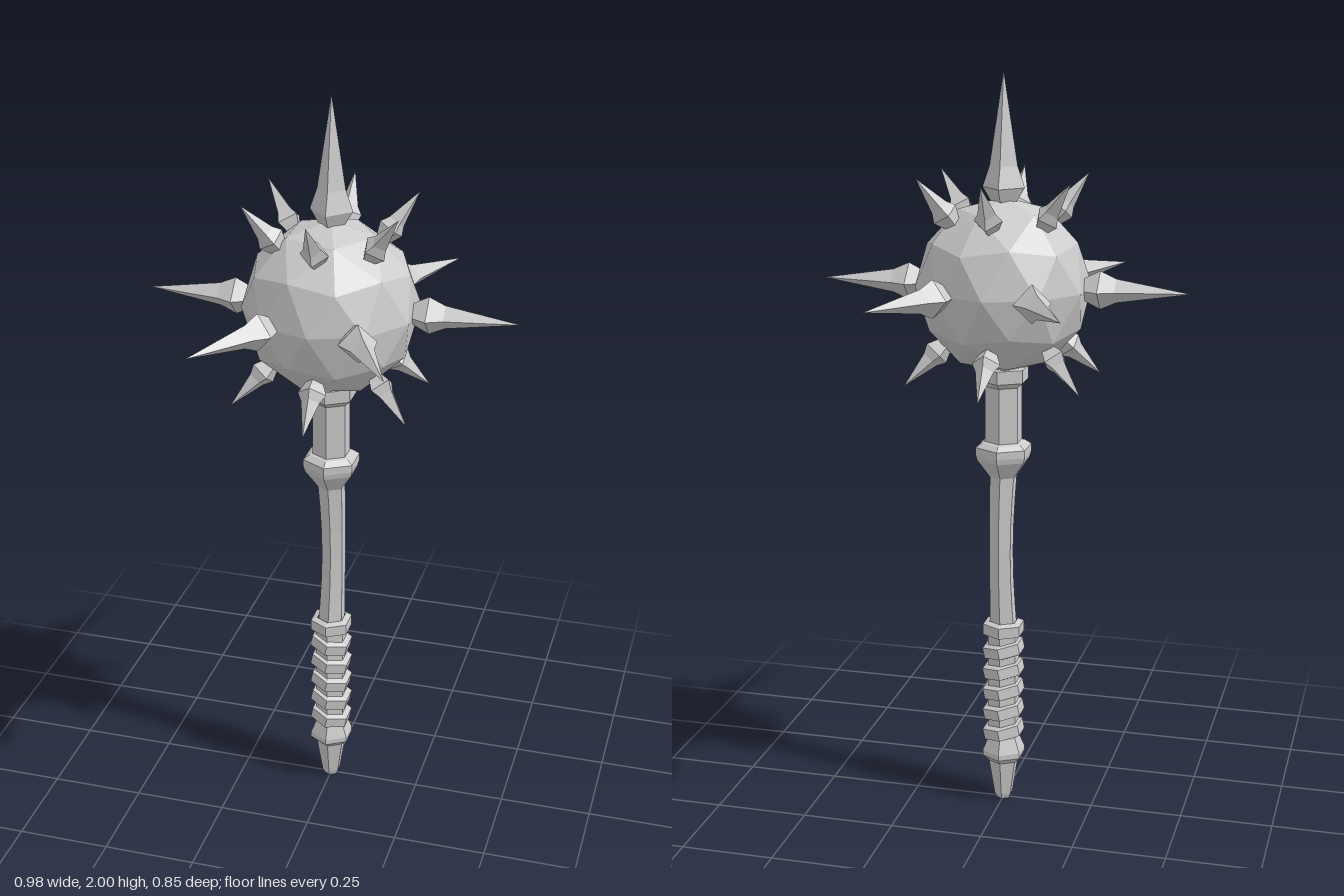
import * as THREE from 'three';

const material = new THREE.MeshStandardMaterial({ color: 0xcccccc, flatShading: true });
const BALL_Y = 1.45;
const BALL_R = 0.23;

// Turned part with a few flat sides; profile is a list of [radius, height]
function turned(name, profile, sides) {
  const points = profile.map(([r, y]) => new THREE.Vector2(r, y));
  const mesh = new THREE.Mesh(new THREE.LatheGeometry(points, sides), material);
  mesh.name = name;
  return mesh;
}

// Four-sided spike leaving the ball centre at an azimuth and elevation in degrees
function spike(name, profile, azimuth, elevation) {
  const mesh = turned(name, profile, 4);
  const a = THREE.MathUtils.degToRad(azimuth);
  const e = THREE.MathUtils.degToRad(elevation);
  mesh.rotation.set(0, a, e - Math.PI / 2, 'YXZ');
  mesh.position.y = BALL_Y;
  return mesh;
}

export function createModel() {
  const model = new THREE.Group();
  model.name = 'spikedMace';

  // Faceted ball, one corner straight up
  const ballGeometry = new THREE.IcosahedronGeometry(BALL_R, 1);
  ballGeometry.rotateX(-Math.atan2((1 + Math.sqrt(5)) / 2, 1));
  ballGeometry.rotateY(Math.PI / 2);
  const ball = new THREE.Mesh(ballGeometry, material);
  ball.name = 'ball';
  ball.position.y = BALL_Y;
  model.add(ball);

  // Spikes: one on top, six large around the middle, six small above and below
  const spikes = new THREE.Group();
  spikes.name = 'spikes';
  const large = [[0, 0.2], [0.03, 0.215], [0.05, 0.255], [0.031, 0.297], [0, 0.49]];
  const small = [[0, 0.2], [0.02, 0.21], [0.037, 0.247], [0.024, 0.27], [0, 0.367]];
  const top = [[0, 0.21], [0.035, 0.22], [0.056, 0.255], [0.037, 0.31], [0, 0.55]];
  spikes.add(spike('topSpike', top, 0, 90));
  for (let i = 0; i < 6; i++) {
    spikes.add(spike('largeSpike', large, i * 60, 0));
    spikes.add(spike('upperSmallSpike', small, 30 + i * 60, 51));
    spikes.add(spike('lowerSmallSpike', small, 30 + i * 60, -43));
  }
  model.add(spikes);

  // Neck under the ball with its upper and lower collars
  model.add(turned('neck', [
    [0, 0.93], [0.037, 0.935], [0.073, 0.985], [0.077, 1.0], [0.077, 1.02], [0.06, 1.032],
    [0.051, 1.035], [0.051, 1.185], [0.068, 1.2], [0.068, 1.235], [0, 1.25],
  ], 6));

  // Slightly bent shaft
  const shaftProfile = [];
  for (let i = 0; i <= 6; i++) {
    const t = i / 6;
    shaftProfile.push([0.038 - 0.005 * Math.sin(Math.PI * t), 0.5 + 0.45 * t]);
  }
  const shaft = turned('shaft', shaftProfile, 6);
  const pos = shaft.geometry.attributes.position;
  for (let i = 0; i < pos.count; i++) {
    const bend = Math.sin(Math.PI * (pos.getY(i) - 0.5) / 0.45);
    pos.setX(i, pos.getX(i) + 0.004 * bend);
    pos.setZ(i, pos.getZ(i) - 0.009 * bend);
  }
  model.add(shaft);

  // Grip core, pommel collar and tapered foot
  model.add(turned('gripAndPommel', [
    [0, 0], [0.02, 0], [0.026, 0.015], [0.042, 0.115], [0.06, 0.132], [0.06, 0.147],
    [0.044, 0.185], [0.044, 0.5], [0, 0.505],
  ], 6));

  // Level ring closing the grip, then slanted wrap rings below it
  const ringProfile = [[0.04, -0.021], [0.058, -0.015], [0.058, 0.015], [0.04, 0.021]];
  for (let i = 0; i < 6; i++) {
    const ring = turned(i === 0 ? 'gripTopRing' : 'gripWrap', ringProfile, 6);
    ring.position.y = 0.505 - i * 0.06;
    if (i > 0) ring.rotation.z = -0.2;
    model.add(ring);
  }

  return model;
}
